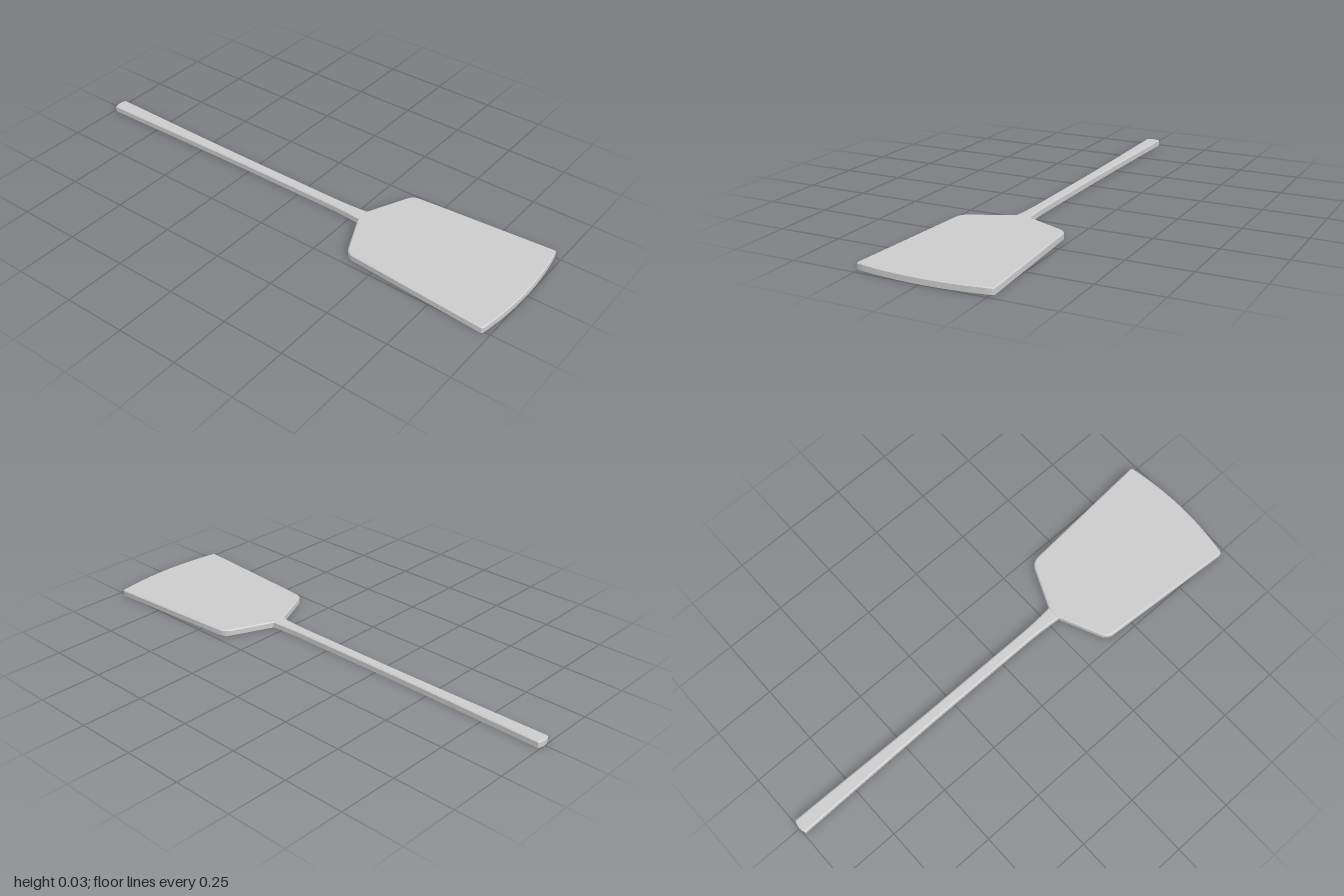
import * as THREE from 'three';
import { toCreasedNormals } from 'three/addons/utils/BufferGeometryUtils.js';

const HEIGHT = 0.025, BEVEL = 0.005;

// Completes a right-half outline (x, z from back to front) by mirroring it.
function mirrored(half) {
  const left = half.filter((p) => p.x > 1e-6).reverse().map((p) => new THREE.Vector2(-p.x, p.y));
  return [...half, ...left];
}

// Moves every outline corner inwards by the same edge distance.
function inset(pts, d) {
  const n = pts.length;
  const normal = (a, b) => new THREE.Vector2(a.y - b.y, b.x - a.x).normalize();
  return pts.map((p, i) => {
    const n1 = normal(pts[(i + n - 1) % n], p), n2 = normal(p, pts[(i + 1) % n]);
    const m = n1.clone().add(n2);
    return p.clone().addScaledVector(m, d / (1 + n1.dot(n2)));
  });
}

// Flat slab: level underside, upright sides and a bevelled top edge.
function slab(name, half, material) {
  const outline = mirrored(half), n = outline.length;
  const top = inset(outline, BEVEL);
  const rings = [[outline, 0], [outline, HEIGHT - BEVEL * 0.8], [top, HEIGHT]];
  const pos = rings.flatMap(([ring, y]) => ring.flatMap((p) => [p.x, y, p.y]));
  const index = [];
  for (let r = 0; r < 2; r++) {
    for (let i = 0; i < n; i++) {
      const j = (i + 1) % n, a = r * n + i, b = r * n + j;
      index.push(a, a + n, b, b, a + n, b + n);
    }
  }
  for (const [a, b, c] of THREE.ShapeUtils.triangulateShape(outline, [])) {
    index.push(a, b, c, 2 * n + a, 2 * n + c, 2 * n + b);
  }
  const geometry = new THREE.BufferGeometry();
  geometry.setAttribute('position', new THREE.Float32BufferAttribute(pos, 3));
  geometry.setIndex(index);
  const mesh = new THREE.Mesh(toCreasedNormals(geometry, 0.5), material);
  mesh.name = name;
  return mesh;
}

export function createModel() {
  const group = new THREE.Group();
  group.name = 'spatula';
  const material = new THREE.MeshStandardMaterial({ color: 0xcccccc });

  // Blade: sloping shoulders, flaring sides and a gently bowed front edge
  const blade = new THREE.Path();
  blade.moveTo(0, 0.287);
  blade.quadraticCurveTo(0.016, 0.287, 0.03, 0.293);
  blade.lineTo(0.19, 0.365);
  blade.quadraticCurveTo(0.219, 0.378, 0.222, 0.41);
  blade.lineTo(0.261, 0.965);
  blade.quadraticCurveTo(0.261, 0.974, 0.252, 0.976);
  blade.quadraticCurveTo(0.126, 1, 0, 1);
  group.add(slab('blade', blade.getPoints(8), material));

  // Handle: slim in the middle, wider at the grip and where it meets the blade
  const handle = new THREE.Path();
  handle.moveTo(0, -1);
  handle.quadraticCurveTo(0.016, -1, 0.03, -0.992);
  handle.bezierCurveTo(0.027, -0.75, 0.021, -0.5, 0.021, -0.25);
  handle.lineTo(0.021, 0.15);
  handle.quadraticCurveTo(0.022, 0.22, 0.029, 0.293);
  handle.lineTo(0, 0.293);
  group.add(slab('handle', handle.getPoints(8), material));

  return group;
}
